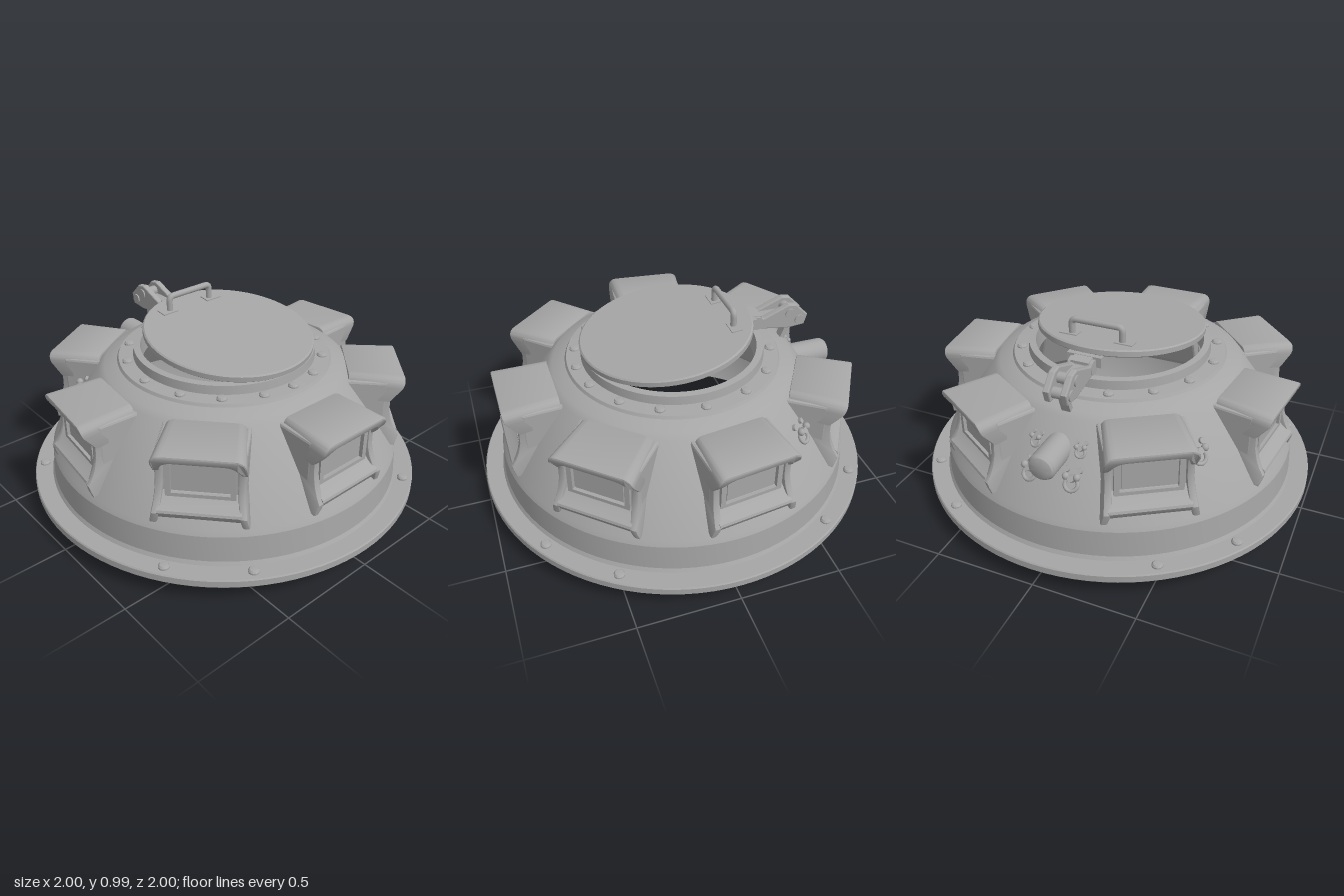
import * as THREE from 'three';
import { toCreasedNormals } from 'three/addons/utils/BufferGeometryUtils.js';

const steel = new THREE.MeshStandardMaterial({ color: 0xa6a6a6 });
steel.name = 'bareSteel';

const rad = THREE.MathUtils.degToRad;

function add(parent, name, geometry, x = 0, y = 0, z = 0) {
  const mesh = new THREE.Mesh(geometry, steel);
  mesh.name = name;
  mesh.position.set(x, y, z);
  parent.add(mesh);
  return mesh;
}

const lathe = (pts, seg = 96) =>
  toCreasedNormals(new THREE.LatheGeometry(pts.map(p => new THREE.Vector2(...p)), seg), 0.35);

const cyl = (r1, r2, h, seg = 16) => new THREE.CylinderGeometry(r1, r2, h, seg);

// Side outline given as [z, y], given a width along x and centred on x = 0
function sideExtrude(pts, width, bevel = 0) {
  const g = new THREE.ExtrudeGeometry(new THREE.Shape(pts.map(p => new THREE.Vector2(...p))), {
    depth: width - 2 * bevel, bevelEnabled: bevel > 0, bevelSize: bevel,
    bevelOffset: -bevel, bevelThickness: bevel, bevelSegments: 2,
  });
  g.translate(0, 0, -width / 2 + bevel);
  g.rotateY(-Math.PI / 2);
  return g;
}

// Domed bolt head
function bolt(parent, x, y, z, r, flip = false) {
  const m = add(parent, 'bolt', lathe([[r, 0], [r, 0.009], [r * 0.75, 0.017], [0, 0.02]], 14), x, y, z);
  if (flip) m.rotation.x = Math.PI;
}

// Visor: arch section pushed outward, its lower edges swept back
function hoodGeometry() {
  const s = new THREE.Shape();
  s.moveTo(-0.2, 0.57);
  s.lineTo(-0.2, 0.64);
  s.quadraticCurveTo(-0.198, 0.69, -0.15, 0.69);
  s.lineTo(0.15, 0.69);
  s.quadraticCurveTo(0.198, 0.69, 0.2, 0.64);
  s.lineTo(0.2, 0.57);
  s.lineTo(0.172, 0.57);
  s.quadraticCurveTo(0.165, 0.648, 0.11, 0.65);
  s.lineTo(-0.11, 0.65);
  s.quadraticCurveTo(-0.165, 0.648, -0.172, 0.57);
  s.closePath();
  const g = new THREE.ExtrudeGeometry(s, {
    depth: 0.28, bevelEnabled: true, bevelSize: 0.008, bevelOffset: -0.008,
    bevelThickness: 0.008, bevelSegments: 2, curveSegments: 8,
  });
  const p = g.attributes.position;
  for (let i = 0; i < p.count; i++) {
    const t = (p.getZ(i) + 0.008) / 0.296;
    const y = p.getY(i);
    const reach = 0.278 - Math.pow((0.69 - y) / 0.12, 2) * 0.07;
    p.setXYZ(i, p.getX(i) * (0.93 + 0.1 * t), y + 0.004 - 0.014 * t, 0.608 + t * reach);
  }
  return toCreasedNormals(g, 0.6);
}

// Cheek plate beside the window, its foot flared sideways
function cheekGeometry(side) {
  const g = sideExtrude([[0.6, 0.67], [0.83, 0.65], [0.82, 0.57], [0.822, 0.5], [0.835, 0.45],
    [0.852, 0.41], [0.876, 0.375], [0.87, 0.345], [0.86, 0.315], [0.72, 0.34], [0.68, 0.5]], 0.035, 0.008);
  const p = g.attributes.position;
  for (let i = 0; i < p.count; i++) {
    const drop = Math.max(0, 0.52 - p.getY(i)) / 0.2;
    p.setX(i, p.getX(i) + side * (0.18 + 0.024 * drop * drop));
  }
  return toCreasedNormals(g, 0.6);
}

// One vision block: visor, cheeks, sill, framed window and inner box
function visionBlock() {
  const g = new THREE.Group();
  g.name = 'visionBlock';
  add(g, 'visor', hoodGeometry());
  for (const s of [-1, 1]) add(g, 'cheek', cheekGeometry(s));
  const sill = sideExtrude([[0.76, 0.46], [0.805, 0.45], [0.83, 0.42], [0.872, 0.39], [0.876, 0.378], [0.862, 0.35], [0.84, 0.33], [0.76, 0.34]], 0.37);
  add(g, 'sill', toCreasedNormals(sill, 0.6));
  add(g, 'innerBox', sideExtrude([[0.555, 0.62], [0.6, 0.67], [0.8, 0.66], [0.8, 0.36], [0.82, 0.28], [0.71, 0.28], [0.685, 0.31]], 0.4, 0.012));
  const frame = new THREE.Shape();
  frame.moveTo(-0.155, 0.43).lineTo(0.155, 0.43).lineTo(0.155, 0.635).lineTo(-0.155, 0.635).closePath();
  const hole = new THREE.Path();
  hole.moveTo(-0.13, 0.45).lineTo(-0.13, 0.612).lineTo(0.13, 0.612).lineTo(0.13, 0.45).closePath();
  frame.holes.push(hole);
  add(g, 'windowFrame', new THREE.ExtrudeGeometry(frame, { depth: 0.02, bevelEnabled: false }), 0, 0, 0.8);
  add(g, 'windowPane', new THREE.BoxGeometry(0.24, 0.145, 0.009), 0, 0.53, 0.804);
  return g;
}

// Group standing on the sloping wall, its +z pointing out of the wall
function onWall(parent, name, degrees, y) {
  const r = 0.89 - (y - 0.29) * 0.692;
  const g = new THREE.Group();
  g.name = name;
  g.rotation.set(-0.6, rad(degrees), 0, 'YXZ');
  g.position.set(Math.sin(rad(degrees)) * r, y, Math.cos(rad(degrees)) * r);
  parent.add(g);
  return g;
}

// Small wing-nut clamp
function clamp(parent, degrees, y, size) {
  const g = onWall(parent, 'clamp', degrees, y);
  g.scale.setScalar(size);
  add(g, 'stud', cyl(0.018, 0.022, 0.045, 10), 0, 0, 0.015).rotation.x = Math.PI / 2;
  add(g, 'ring', new THREE.TorusGeometry(0.035, 0.011, 8, 18), 0, -0.03, 0.008);
  for (const s of [-1, 1]) {
    add(g, 'wing', new THREE.SphereGeometry(0.02, 10, 8), s * 0.03, 0.01, 0.03);
    add(g, 'foot', cyl(0.015, 0.018, 0.025, 10), s * 0.035, 0.045, 0.005).rotation.x = Math.PI / 2;
  }
}

export function createModel() {
  const model = new THREE.Group();
  model.name = 'armouredCupola';

  // Hollow body with flange, sloping wall and top opening
  add(model, 'shell', lathe([
    [0.815, 0.0], [0.84, 0.0], [0.885, 0.088], [0.995, 0.088], [1, 0.094], [1, 0.126], [0.995, 0.132],
    [0.91, 0.132], [0.9, 0.15], [0.892, 0.28], [0.88, 0.305], [0.63, 0.672], [0.6, 0.695], [0.535, 0.718],
    [0.527, 0.732], [0.455, 0.737], [0.45, 0.78], [0.418, 0.783], [0.412, 0.69], [0.575, 0.66],
    [0.845, 0.285], [0.85, 0.12], [0.815, 0.0],
  ]));

  // Flange bolts, above and below
  for (const a of [33, 57, 123, 147, 213, 237, 303, 327]) {
    const x = Math.sin(rad(a)) * 0.95, z = Math.cos(rad(a)) * 0.95;
    bolt(model, x, 0.131, z, 0.026);
    bolt(model, x, 0.089, z, 0.026, true);
  }
  // Ring bolts around the opening
  for (const a of [0, 19, 42, 65, 90, 116, 139, 163, -19, -42, -65, -90, -116, -139, -163])
    bolt(model, Math.sin(rad(a)) * 0.488, 0.731, Math.cos(rad(a)) * 0.488, 0.025);

  // Seven vision blocks, leaving the back free for the hinge
  for (const a of [0, 48, -48, 97, -97, 148, -148]) {
    const b = visionBlock();
    b.rotation.y = rad(a);
    model.add(b);
  }

  // Tilted hatch lid, slightly longer than wide, with its grab handle
  const lid = new THREE.Group();
  lid.name = 'hatch';
  lid.position.set(0, 0.845, 0.032);
  lid.rotation.x = 0.105;
  model.add(lid);
  const plate = lathe([[0, -0.018], [0.408, -0.018], [0.415, -0.012], [0.415, 0.012], [0.408, 0.018], [0, 0.018]], 64);
  add(lid, 'lidPlate', plate.scale(1, 1, 1.035));
  const path = new THREE.CurvePath();
  const v = (x, y) => new THREE.Vector3(x, y, 0);
  path.add(new THREE.LineCurve3(v(-0.128, -0.01), v(-0.128, 0.055)));
  path.add(new THREE.QuadraticBezierCurve3(v(-0.128, 0.055), v(-0.128, 0.08), v(-0.103, 0.08)));
  path.add(new THREE.LineCurve3(v(-0.103, 0.08), v(0.103, 0.08)));
  path.add(new THREE.QuadraticBezierCurve3(v(0.103, 0.08), v(0.128, 0.08), v(0.128, 0.055)));
  path.add(new THREE.LineCurve3(v(0.128, 0.055), v(0.128, -0.01)));
  const handle = add(lid, 'handle', new THREE.TubeGeometry(path, 60, 0.016, 10), 0, 0.014, -0.305);
  handle.rotation.x = -0.105;
  for (const s of [-1, 1]) add(lid, 'handlePad', new THREE.BoxGeometry(0.09, 0.006, 0.055), s * 0.14, 0.02, -0.305);

  // Hinge: bar under the lid, knuckle, cheeks with pins, and stay
  const hinge = new THREE.Group();
  hinge.name = 'hinge';
  model.add(hinge);
  add(hinge, 'lidBar', sideExtrude([[-0.15, 0.845], [-0.2, 0.815], [-0.4, 0.8], [-0.46, 0.81], [-0.46, 0.865], [-0.38, 0.88]], 0.09));
  add(hinge, 'lidBracket', new THREE.BoxGeometry(0.17, 0.05, 0.05), 0, 0.85, -0.39);
  add(hinge, 'knuckle', cyl(0.036, 0.036, 0.12, 20), 0, 0.832, -0.43).rotation.z = Math.PI / 2;
  const arm = [[-0.43, 0.85], [-0.47, 0.855], [-0.6, 0.908], [-0.645, 0.9], [-0.71, 0.835], [-0.695, 0.78], [-0.61, 0.773], [-0.43, 0.8]];
  for (const s of [-1, 1]) add(hinge, 'armCheek', sideExtrude(arm, 0.032, 0.006), s * 0.042);
  add(hinge, 'armWeb', new THREE.BoxGeometry(0.06, 0.04, 0.16), 0, 0.828, -0.51);
  for (const [y, z] of [[0.86, -0.61], [0.815, -0.665]])
    add(hinge, 'pin', cyl(0.026, 0.026, 0.13, 16), 0, y, z).rotation.z = Math.PI / 2;
  add(hinge, 'stay', sideExtrude([[-0.58, 0.69], [-0.6, 0.74], [-0.615, 0.79], [-0.64, 0.79], [-0.625, 0.74], [-0.605, 0.685]], 0.045));

  // Rear buffer: rounded cylinder standing out of the wall
  const buffer = add(model, 'rearBuffer', lathe([[0.065, 0], [0.065, 0.235], [0.055, 0.25], [0.04, 0.256], [0, 0.258]], 28), 0, 0.55, -0.615);
  buffer.rotation.x = -Math.PI / 2;

  // Clamps beside the buffer and between the side vision blocks
  for (const s of [-1, 1]) {
    clamp(model, 180 + s * 7.5, 0.46, 0.85);
    clamp(model, 180 + s * 9, 0.57, 0.6);
    clamp(model, s * 128.5, 0.53, 0.9);
  }
  return model;
}
